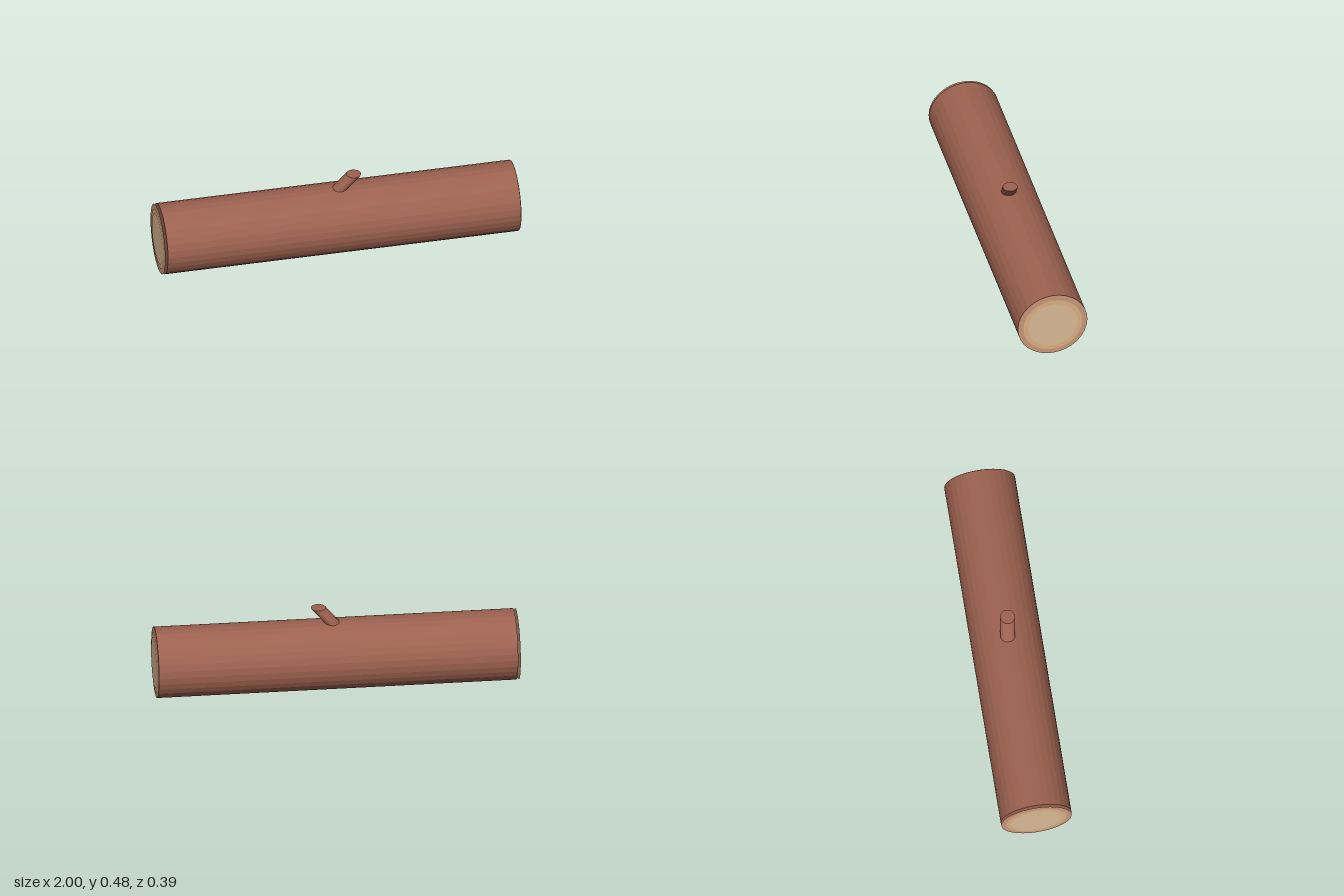
import * as THREE from 'three';

const R = 0.196;

function material(color, side = THREE.FrontSide) {
  return new THREE.MeshStandardMaterial({ color, side, flatShading: true });
}

function addMesh(parent, name, geometry, mat) {
  const mesh = new THREE.Mesh(geometry, mat);
  mesh.name = name;
  parent.add(mesh);
  return mesh;
}

export function createModel() {
  const model = new THREE.Group();
  model.name = 'log';
  const bark = material(0x9d6250);

  // Bark-covered trunk lying along x
  const trunk = new THREE.CylinderGeometry(R, R, 1.974, 32);
  trunk.rotateZ(-Math.PI / 2).translate(0.005, R, 0);
  addMesh(model, 'trunk', trunk, bark);

  // Growth rings: thin stacked discs on each cut end
  const rings = [
    { name: 'OuterRing', radius: 0.195, color: 0xc9987a },
    { name: 'MiddleRing', radius: 0.166, color: 0xdcae82 },
    { name: 'Heartwood', radius: 0.141, color: 0xdbb995 },
  ];
  const ends = [
    { name: 'left', sign: 1, first: 0.994, step: 0.003 },
    { name: 'right', sign: -1, first: 0.996, step: 0.002 },
  ];
  for (const end of ends) {
    rings.forEach((ring, i) => {
      const disc = new THREE.CircleGeometry(ring.radius, 32);
      disc.rotateY(end.sign * Math.PI / 2);
      disc.translate(end.sign * (end.first + i * end.step), R, 0);
      addMesh(model, end.name + ring.name, disc, material(ring.color, THREE.DoubleSide));
    });
  }

  // Branch stub: a cylinder sheared sideways so its cut top stays level
  const bottom = 0.33, top = 0.478;
  const stub = new THREE.CylinderGeometry(0.041, 0.041, top - bottom, 16);
  stub.translate(0, (bottom + top) / 2, 0);
  stub.applyMatrix4(new THREE.Matrix4().set(
    1, 0.85, 0, 0.095 - 0.85 * top,
    0, 1, 0, 0,
    0, 0.12, 1, 0.012 - 0.12 * top,
    0, 0, 0, 1,
  ));
  stub.computeVertexNormals();
  addMesh(model, 'branchStub', stub, bark);

  return model;
}
